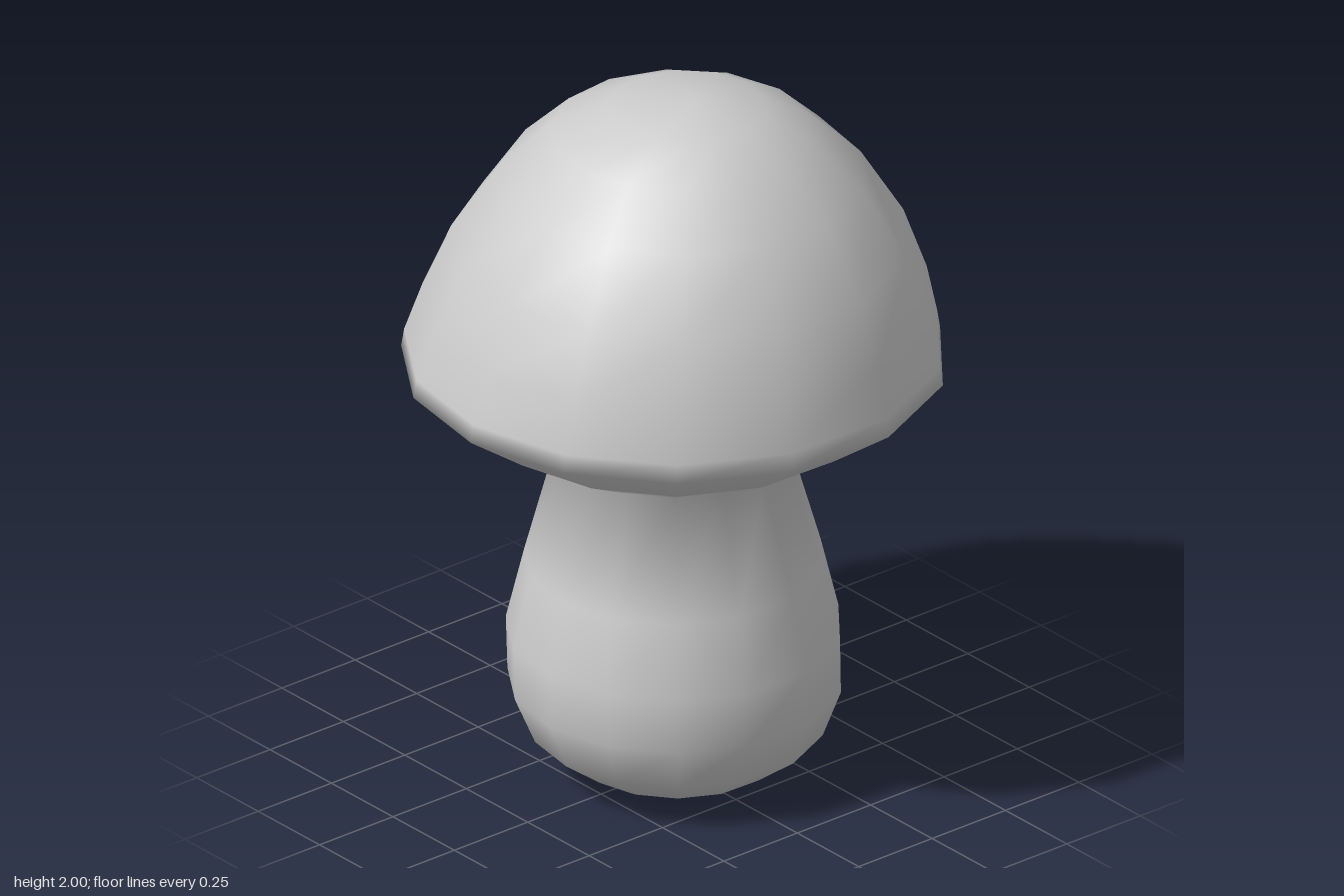
import * as THREE from 'three';

const SIDES = 14;

// Cross-sections from foot to crown: [height, radius, forward shift]
const RINGS = [
  [0.003, 0, 0.02], [0.012, 0.12, 0.01], [0.05, 0.27, 0.01], [0.14, 0.39, 0.01],
  [0.27, 0.442, 0.005], [0.42, 0.443, 0], [0.62, 0.395, 0], [0.945, 0.305, -0.005],
  [1.07, 0.535, 0], [1.2, 0.718, 0], [1.25, 0.71, 0], [1.39, 0.672, 0.015],
  [1.57, 0.602, 0.025], [1.76, 0.48, 0.035], [1.885, 0.345, 0.03],
  [1.96, 0.21, 0.05], [1.998, 0, 0.09],
];
const NECK = 7; // ring shared by stem and cap

// Sides drift a little from even spacing, as on a hand-shaped form
function sideAngle(i) {
  const a = (i / SIDES) * Math.PI * 2;
  return a - 0.04 + 0.07 * Math.sin(a);
}

export function createModel() {
  const positions = [];
  for (const [y, r, dz] of RINGS) {
    for (let i = 0; i < SIDES; i++) {
      const a = sideAngle(i);
      positions.push(r * Math.cos(a), y, r * Math.sin(a) + dz);
    }
  }

  // Faces between two rings; the end rings are collapsed to a point
  const skin = (from, to) => {
    const index = [];
    for (let k = from; k < to; k++) {
      for (let i = 0; i < SIDES; i++) {
        const j = (i + 1) % SIDES;
        const a = k * SIDES + i, b = k * SIDES + j;
        const c = a + SIDES, d = b + SIDES;
        if (RINGS[k][1] > 0) index.push(a, c, b);
        if (RINGS[k + 1][1] > 0) index.push(b, c, d);
      }
    }
    return index;
  };

  // Smooth normals are computed over the whole skin so the neck blends
  const last = RINGS.length - 1;
  const whole = new THREE.BufferGeometry();
  whole.setAttribute('position', new THREE.Float32BufferAttribute(positions, 3));
  whole.setIndex(skin(0, last));
  whole.computeVertexNormals();
  for (let i = 0; i < SIDES; i++) {
    whole.attributes.normal.setXYZ(i, 0, -1, 0);
    whole.attributes.normal.setXYZ(last * SIDES + i, 0, 1, 0);
  }

  const material = new THREE.MeshStandardMaterial({ color: 0xcccccc, roughness: 0.9 });
  const group = new THREE.Group();
  group.name = 'mushroom';
  const addPart = (name, from, to) => {
    const geometry = whole.clone();
    geometry.setIndex(skin(from, to));
    const mesh = new THREE.Mesh(geometry, material);
    mesh.name = name;
    group.add(mesh);
  };
  addPart('stem', 0, NECK);
  addPart('cap', NECK, last);
  return group;
}
